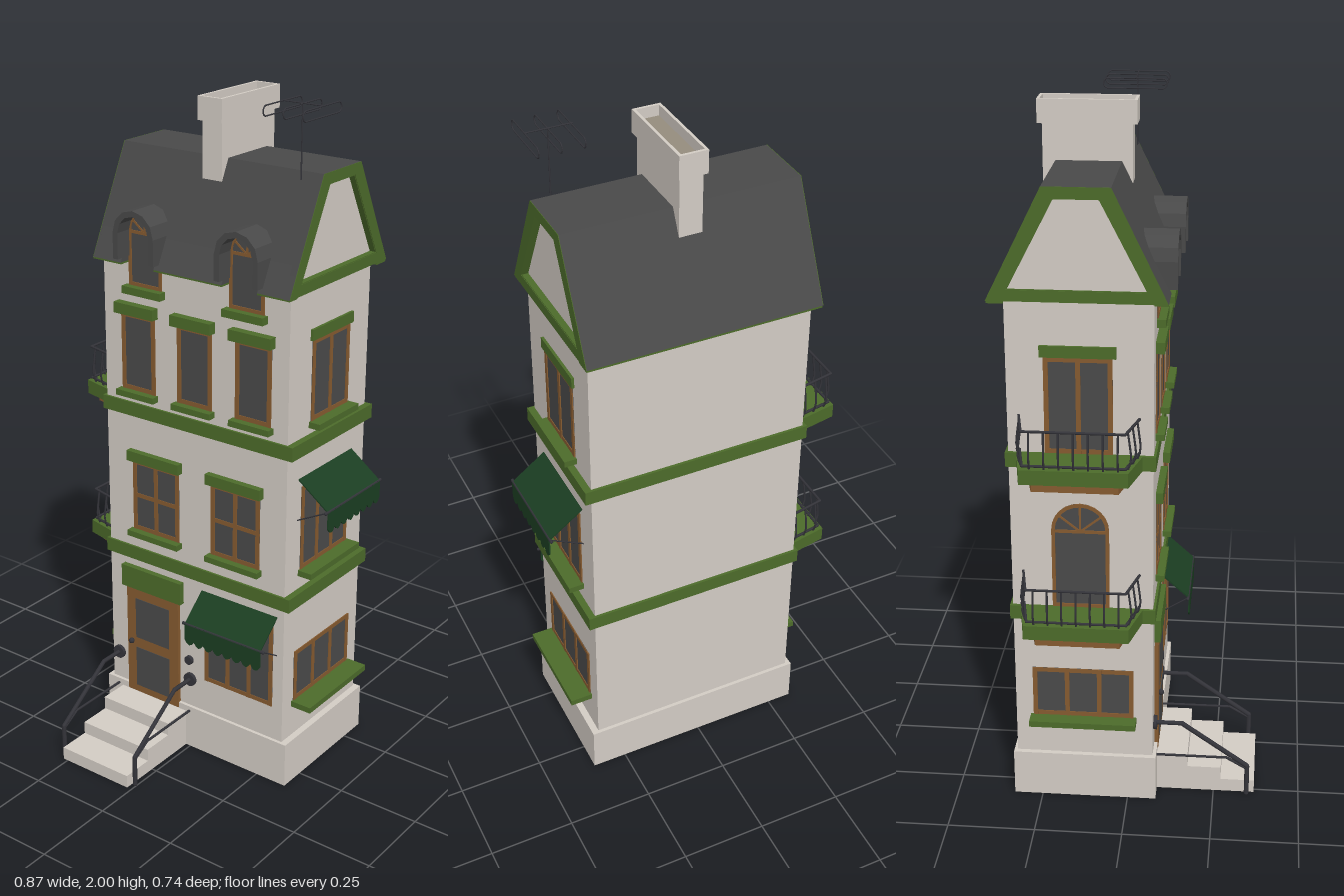
import * as THREE from 'three';

const mat = (name, color, side = THREE.FrontSide) => {
  const m = new THREE.MeshStandardMaterial({ color, side });
  m.name = name;
  return m;
};

export function createModel() {
  const wall = mat('stone', 0xd3ccc4), green = mat('greenTrim', 0x4c6b2a), slate = mat('slate', 0x494949);
  const glass = mat('glass', 0x4a4a4a), wood = mat('wood', 0x855a30), metal = mat('metal', 0x34343a);
  const cloth = mat('awningCloth', 0x1b3e22), soot = mat('chimneyInside', 0x958c7d);
  const root = new THREE.Group();
  root.name = 'townHouse';

  const add = (parent, name, geo, m) => {
    const mesh = new THREE.Mesh(geo, m);
    mesh.name = name;
    parent.add(mesh);
    return mesh;
  };
  // box given by its min and max on each axis
  const box = (p, name, m, x0, x1, y0, y1, z0, z1) => add(p, name,
    new THREE.BoxGeometry(x1 - x0, y1 - y0, z1 - z0).translate((x0 + x1) / 2, (y0 + y1) / 2, (z0 + z1) / 2), m);
  const poly = pts => new THREE.Shape(pts.map(p => new THREE.Vector2(p[0], p[1])));
  const extrude = (shape, depth, curveSegments = 6) =>
    new THREE.ExtrudeGeometry(shape, { depth, bevelEnabled: false, curveSegments });
  // profile of [z, y] points swept along x
  const prismX = (p, name, m, pts, x0, x1, hole) => {
    const s = poly(pts);
    if (hole) s.holes.push(poly(hole));
    return add(p, name, extrude(s, x1 - x0).rotateY(-Math.PI / 2).translate(x1, 0, 0), m);
  };
  // plan of [x, z] points raised along y; holes run the opposite way round
  const slab = (p, name, m, pts, y0, y1, hole) => {
    const s = poly(pts.map(q => [q[0], -q[1]]));
    if (hole) s.holes.push(poly(hole.map(q => [q[0], -q[1]]).reverse()));
    return add(p, name, extrude(s, y1 - y0).rotateX(-Math.PI / 2).translate(0, y0, 0), m);
  };
  const rect = (x0, x1, z0, z1) => [[x0, z0], [x1, z0], [x1, z1], [x0, z1]];
  const tube = (p, name, pts, r, closed = false) => {
    const v = pts.map(q => new THREE.Vector3(...q));
    for (let i = 0; i < v.length - (closed ? 0 : 1); i++)
      add(p, name, new THREE.TubeGeometry(new THREE.LineCurve3(v[i], v[(i + 1) % v.length]), 1, r, 6), metal);
    v.forEach(q => add(p, name + 'Joint', new THREE.SphereGeometry(r, 6, 4).translate(q.x, q.y, q.z), metal));
  };
  // group lying on a wall, with local +z pointing outwards
  const on = (name, side, u) => {
    const g = new THREE.Group();
    g.name = name;
    if (side === 'front') g.position.set(u, 0, 0.07);
    else {
      g.position.set(side === 'right' ? 0.33 : -0.31, 0, u);
      g.rotation.y = side === 'right' ? Math.PI / 2 : -Math.PI / 2;
    }
    root.add(g);
    return g;
  };

  // Hollow walls and plinth, with floor bands
  slab(root, 'walls', wall, rect(-0.31, 0.33, -0.325, 0.07), 0.13, 1.52, rect(-0.3, 0.32, -0.315, 0.06));
  slab(root, 'plinth', wall, rect(-0.325, 0.35, -0.335, 0.08), 0, 0.14, rect(-0.3, 0.32, -0.315, 0.06));
  for (const y of [0.58, 1.047]) box(root, 'floorBand', green, -0.32, 0.35, y, y + 0.042, -0.333, 0.077);

  // Mansard roof; the eaves stop either side of the dormers
  const dormers = [-0.158, 0.19], gaps = [-0.316, -0.216, -0.1, 0.132, 0.248, 0.351];
  prismX(root, 'roof', slate, [[0.068, 1.515], [0.068, 1.597], [-0.04, 1.82], [-0.22, 1.82], [-0.372, 1.515]], -0.31, 0.33);
  for (let i = 0; i < 6; i += 2) {
    prismX(root, 'frontEave', slate, [[0.068, 1.516], [0.108, 1.516], [0.068, 1.597]], gaps[i], gaps[i + 1]);
    box(root, 'frontSoffit', green, gaps[i], gaps[i + 1], 1.511, 1.516, 0.07, 0.107);
  }
  box(root, 'backSoffit', green, -0.316, 0.351, 1.508, 1.516, -0.37, -0.325);
  const outer = [[0.108, 1.515], [-0.04, 1.82], [-0.22, 1.82], [-0.372, 1.515]];
  const inner = [[0.055, 1.546], [-0.07, 1.79], [-0.19, 1.79], [-0.317, 1.546]];
  for (const [wallX, edgeX, s] of [[0.33, 0.351, 1], [-0.31, -0.316, -1]]) {
    const span = (a, b) => [Math.min(a, b), Math.max(a, b)];
    prismX(root, 'gableWall', wall, [[0.1, 1.518], [-0.045, 1.816], [-0.215, 1.816], [-0.364, 1.518]], ...span(wallX, wallX + s * 0.003));
    prismX(root, 'roofEdge', slate, outer, ...span(wallX, edgeX), inner);
    prismX(root, 'gableTrim', green, outer, ...span(edgeX, edgeX + s * 0.0015), inner);
    // green lining of the recess
    prismX(root, 'gableLining', green, inner, ...span(wallX, edgeX), inner.map(([z, y]) => [-0.131 + (z + 0.131) * 0.98, 1.66 + (y - 1.66) * 0.98]));
  }

  // Chimney with an open cap
  box(root, 'chimney', wall, -0.02, 0.045, 1.75, 1.93, -0.255, -0.011);
  slab(root, 'chimneyCap', wall, rect(-0.027, 0.053, -0.268, 0.002), 1.92, 1.985, rect(-0.019, 0.045, -0.26, -0.006));
  box(root, 'chimneyInside', soot, -0.0195, 0.0455, 1.925, 1.955, -0.2605, -0.0055);

  // Aerial with three long loops
  tube(root, 'aerialPole', [[0.29, 1.8, -0.025], [0.29, 1.998, -0.025]], 0.002);
  tube(root, 'aerialBoom', [[0.225, 1.998, -0.025], [0.35, 1.998, -0.025]], 0.002);
  for (const x of [0.228, 0.29, 0.35]) {
    const loop = [];
    for (let i = 0; i < 16; i++) {
      const a = (i + 0.5) / 16 * Math.PI * 2, c = Math.cos(a);
      loop.push([x, 1.983 + 0.014 * Math.sin(a), -0.026 + Math.sign(c) * 0.075 + 0.014 * c]);
    }
    tube(root, 'aerialLoop', loop, 0.002, true);
  }

  // Rectangular window with a grid of panes
  const windowOn = (side, u, w, y0, y1, cols, rows, o = {}) => {
    const g = on(side + 'Window', side, u), h = w / 2, t = 0.013;
    box(g, 'pane', glass, -h, h, y0, y1, -0.008, 0.001);
    for (let i = 0; i <= cols; i++) {
      const x = -h + t / 2 + (w - t) * i / cols;
      box(g, 'upright', wood, x - t / 2, x + t / 2, y0, y1, -0.012, 0.004);
    }
    for (let i = 0; i <= rows; i++) {
      const y = y0 + t / 2 + (y1 - y0 - t) * i / rows;
      box(g, 'crossbar', wood, -h, h, y - t / 2, y + t / 2, -0.012, 0.003);
    }
    if (o.lintel) box(g, 'lintel', green, -h - 0.01, h + 0.01, y1, y1 + 0.032, 0, o.lintel);
    if (o.sill) box(g, 'sill', green, -h - 0.008, h + 0.008, y0 - 0.018, y0, 0, o.sill);
  };
  for (const x of [-0.187, 0.013, 0.214]) windowOn('front', x, 0.12, 1.128, 1.36, 1, 1, { lintel: 0.025, sill: 0.025 });
  for (const x of [-0.13, 0.157]) windowOn('front', x, 0.17, 0.683, 0.908, 2, 2, { lintel: 0.02, sill: 0.025 });
  windowOn('front', 0.172, 0.245, 0.25, 0.53, 3, 1);
  windowOn('right', -0.13, 0.29, 0.257, 0.42, 3, 1, { sill: 0.066 });
  windowOn('left', -0.13, 0.29, 0.265, 0.42, 3, 1, { sill: 0.045 });
  windowOn('right', -0.123, 0.24, 0.682, 0.94, 3, 1, { sill: 0.045 });
  windowOn('right', -0.132, 0.185, 1.126, 1.363, 2, 1, { lintel: 0.008, sill: 0.036 });
  windowOn('left', -0.132, 0.185, 1.089, 1.363, 2, 1, { lintel: 0.008 });

  // Arched opening with a fan light
  const arch = (r, y0, yc) => {
    const s = new THREE.Shape();
    s.moveTo(-r, y0).lineTo(r, y0).lineTo(r, yc);
    return s.absarc(0, yc, r, 0, Math.PI, false);
  };
  const archOn = (side, u, r, y0, yc) => {
    const g = on(side + 'ArchedWindow', side, u);
    add(g, 'pane', extrude(arch(r, y0, yc), 0.01).translate(0, 0, -0.009), glass);
    const frame = arch(r, y0, yc);
    frame.holes.push(arch(r - 0.01, y0 + 0.01, yc));
    add(g, 'frame', extrude(frame, 0.015).translate(0, 0, -0.011), wood);
    box(g, 'transom', wood, -r, r, yc - 0.009, yc, -0.01, 0.0035);
    for (const a of [-0.9, 0, 0.9])
      add(g, 'fanSpoke', new THREE.BoxGeometry(0.006, r, 0.006).translate(0, r / 2, 0).rotateZ(a).translate(0, yc - 0.004, 0), wood);
    return g;
  };
  archOn('left', -0.132, 0.08, 0.622, 0.86);
  for (const x of dormers) {
    const g = archOn('front', x, 0.058, 1.445, 1.605);
    box(g, 'sill', green, -0.068, 0.068, 1.423, 1.445, 0, 0.025);
    const hood = new THREE.Shape();
    hood.moveTo(0.054, 1.53).lineTo(0.071, 1.53).lineTo(0.071, 1.605);
    hood.absarc(0, 1.605, 0.071, 0, Math.PI, false).lineTo(-0.071, 1.53).lineTo(-0.054, 1.53).lineTo(-0.054, 1.605);
    hood.absarc(0, 1.605, 0.054, Math.PI, 0, true);
    add(g, 'dormerHood', extrude(hood, 0.127, 3).translate(0, 0, -0.072), slate);
  }

  // Front door and bell
  const door = on('frontDoor', 'front', -0.143);
  box(door, 'doorLeaf', wood, -0.098, 0.098, 0.122, 0.485, -0.02, 0.0115);
  for (const [a, b] of [[0.145, 0.28], [0.315, 0.45]]) box(door, 'doorPane', glass, -0.064, 0.064, a, b, -0.022, 0.013);
  box(door, 'doorLintel', green, -0.112, 0.112, 0.485, 0.555, 0, 0.018);
  add(door, 'knob', new THREE.SphereGeometry(0.009, 10, 8).translate(-0.078, 0.3, 0.018), metal);
  add(root, 'bell', new THREE.CylinderGeometry(0.014, 0.014, 0.012, 14).rotateX(Math.PI / 2).translate(-0.008, 0.3, 0.075), metal);

  // Awnings with scalloped valances
  const awning = (side, u, w, y, reach) => {
    const g = on(side + 'Awning', side, u), h = w / 2, drop = 0.075, n = 8;
    const slope = new THREE.BoxGeometry(w, Math.hypot(drop, reach), 0.004);
    add(g, 'canopy', slope.rotateX(-Math.atan2(reach, drop)).translate(0, y - drop / 2, reach / 2), cloth);
    const s = new THREE.Shape();
    s.moveTo(-h, y - drop).lineTo(-h, y - drop - 0.05);
    for (let i = 0; i < n; i++) {
      const x = -h + w * i / n;
      s.quadraticCurveTo(x + w / n / 2, y - drop - 0.08, x + w / n, y - drop - 0.05);
    }
    s.lineTo(h, y - drop);
    add(g, 'valance', extrude(s, 0.004, 4).translate(0, 0, reach - 0.002), cloth);
    tube(g, 'awningRod', [[-h - 0.008, y - drop, reach - 0.003], [h + 0.008, y - drop, reach - 0.003]], 0.005);
    for (const x of [-h, h]) tube(g, 'awningArm', [[x, y - drop, reach - 0.003], [x, y - 0.125, 0]], 0.002);
  };
  awning('front', 0.172, 0.27, 0.55, 0.083);
  awning('right', -0.123, 0.272, 0.968, 0.1);

  // Left balconies with bowed balusters
  for (const y of [0.58, 1.047]) {
    slab(root, 'balconyFloor', green, [[-0.31, 0.043], [-0.435, 0.012], [-0.435, -0.28], [-0.31, -0.303]], y, y + 0.042);
    slab(root, 'balconyBracket', wood, [[-0.31, 0.01], [-0.415, -0.015], [-0.415, -0.25], [-0.31, -0.275]], y - 0.028, y);
    const rail = [[-0.312, 0.032], [-0.424, 0.004], [-0.424, -0.271], [-0.312, -0.293]];
    for (const h of [0.05, 0.148]) tube(root, 'balconyRail', rail.map(([x, z]) => [x, y + h, z]), 0.004);
    [3, 7, 3].forEach((n, k) => {
      const [a, b] = [rail[k], rail[k + 1]], len = Math.hypot(b[0] - a[0], b[1] - a[1]);
      const ox = (b[1] - a[1]) / len * 0.009, oz = -(b[0] - a[0]) / len * 0.009;
      for (let i = 0; i < n; i++) {
        const t = (i + 0.5) / n, x = a[0] + (b[0] - a[0]) * t, z = a[1] + (b[1] - a[1]) * t;
        const bow = new THREE.CatmullRomCurve3([[0, 0.04], [1, 0.07], [0.6, 0.11], [0, 0.148]]
          .map(([o, h]) => new THREE.Vector3(x + ox * o, y + h, z + oz * o)));
        add(root, 'baluster', new THREE.TubeGeometry(bow, 6, 0.003, 5), metal);
      }
    });
  }

  // Hollow front steps
  [[0.367, 0.04], [0.268, 0.079], [0.17, 0.12]].forEach(([z, y], i) => {
    const back = [0.268, 0.17, 0.07][i];
    box(root, 'tread', wall, -0.267, -0.017, y - 0.008, y, back - 0.006, z);
    box(root, 'riser', wall, -0.267, -0.017, y - 0.04, y, z - 0.006, z);
    for (const x of [-0.267, -0.023]) box(root, 'stepSide', wall, x, x + 0.006, 0, y, back, z);
  });

  // Stair handrails with wall flanges
  for (const x of [-0.281, -0.004]) {
    tube(root, 'handrail', [[x, 0.006, 0.345], [x, 0.1, 0.345], [x, 0.235, 0.153], [x, 0.235, 0.072]], 0.007);
    tube(root, 'lowerRail', [[x, 0.09, 0.345], [x, 0.125, 0.285], [x, 0.125, 0.075]], 0.004);
    add(root, 'railFlange', new THREE.CylinderGeometry(0.021, 0.021, 0.01, 16).rotateX(Math.PI / 2).translate(x, 0.235, 0.076), metal);
  }

  // Centre the footprint and stand it on the ground
  const bounds = new THREE.Box3().setFromObject(root), mid = bounds.getCenter(new THREE.Vector3());
  root.position.set(-mid.x, -bounds.min.y, -mid.z);
  return root;
}
